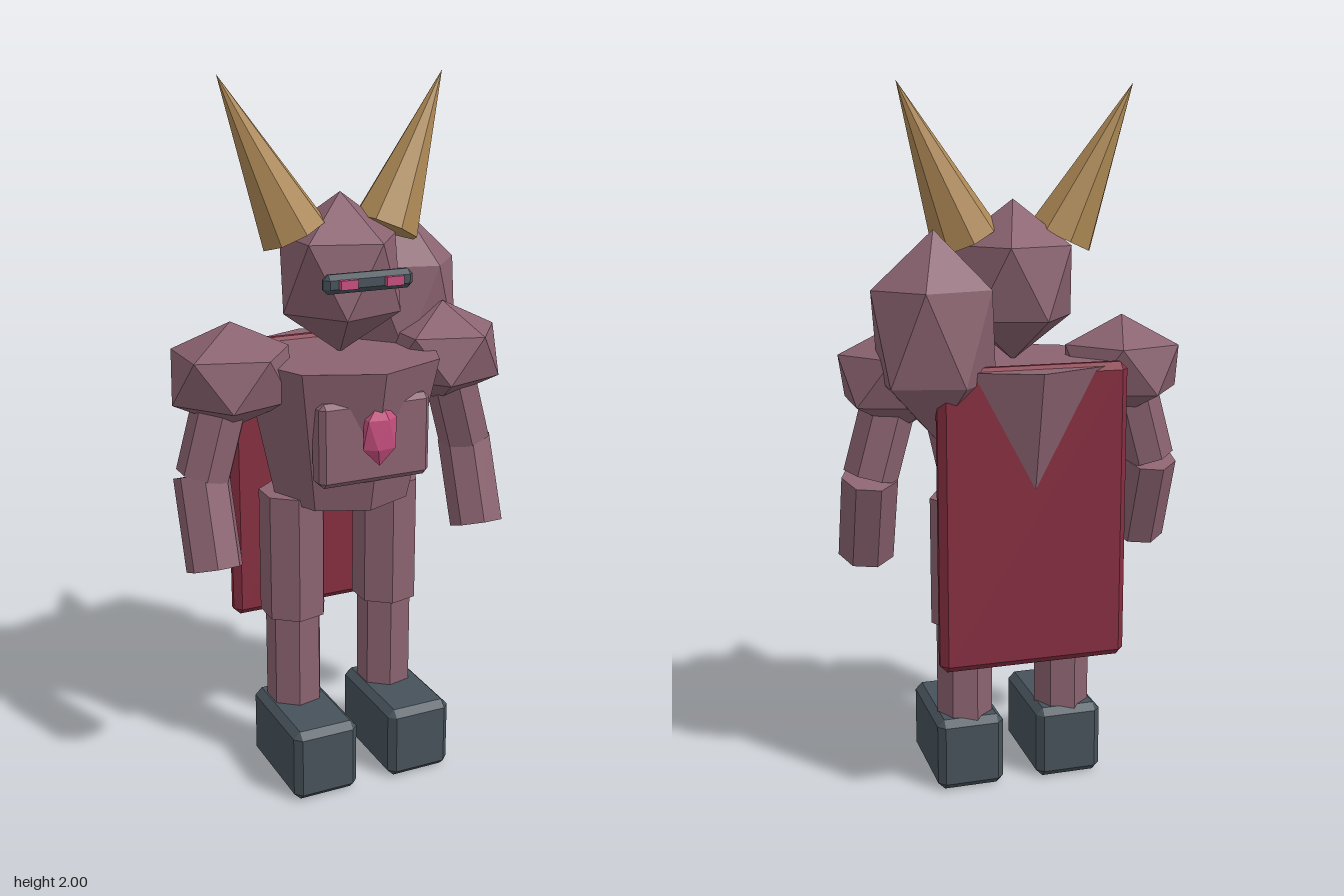
import * as THREE from 'three';
import { ConvexGeometry } from 'three/addons/geometries/ConvexGeometry.js';

const V = (x, y, z) => new THREE.Vector3(x, y, z);

function material(name, color) {
  const m = new THREE.MeshStandardMaterial({ color, flatShading: true });
  m.name = name;
  return m;
}

// Icosahedron standing on one corner, with separate radii per axis
function icoGeometry(rx, ry, rz) {
  const points = [V(0, ry, 0), V(0, -ry, 0)];
  const y = 1 / Math.sqrt(5), ring = 2 / Math.sqrt(5);
  for (let i = 0; i < 5; i++) {
    const a = i * Math.PI * 2 / 5;
    const x = ring * Math.cos(a), z = ring * Math.sin(a);
    points.push(V(x * rx, y * ry, z * rz), V(-x * rx, -y * ry, z * rz));
  }
  return new ConvexGeometry(points);
}

// Box with one flat bevel along every edge
function bevelBox(w, h, d, b) {
  const points = [];
  for (const sx of [-1, 1]) for (const sy of [-1, 1]) for (const sz of [-1, 1]) {
    const x = w / 2, y = h / 2, z = d / 2;
    points.push(V(sx * x, sy * (y - b), sz * (z - b)));
    points.push(V(sx * (x - b), sy * y, sz * (z - b)));
    points.push(V(sx * (x - b), sy * (y - b), sz * z));
  }
  return new ConvexGeometry(points);
}

export function createModel() {
  const model = new THREE.Group();
  model.name = 'hornedBrute';

  const skin = material('mauveHide', 0x8b6370);
  const dark = material('darkSlate', 0x46525a);
  const red = material('capeRed', 0x852e40);
  const pink = material('gemPink', 0xc74f7e);
  const horn = material('hornTan', 0xad8855);

  function add(name, geometry, mat, x, y, z) {
    const mesh = new THREE.Mesh(geometry, mat);
    mesh.name = name;
    mesh.position.set(x, y, z);
    model.add(mesh);
    return mesh;
  }

  // Straight faceted limb from a to b
  function limb(name, a, b, ra, rb, sides, mat, start = 0) {
    const dir = b.clone().sub(a);
    const geometry = new THREE.CylinderGeometry(rb, ra, dir.length(), sides, 1, false, start);
    const mid = a.clone().add(b).multiplyScalar(0.5);
    const mesh = add(name, geometry, mat, mid.x, mid.y, mid.z);
    mesh.quaternion.setFromUnitVectors(V(0, 1, 0), dir.normalize());
    return mesh;
  }

  // Body
  add('torso', new THREE.CylinderGeometry(0.29, 0.2, 0.41, 8), skin, 0, 1.045, 0);
  add('chestPlate', bevelBox(0.33, 0.235, 0.07, 0.015), skin, 0, 1.05, 0.2);
  add('chestGem', icoGeometry(0.056, 0.092, 0.028), pink, 0, 1.078, 0.252);
  add('cape', bevelBox(0.535, 0.845, 0.056, 0.02), red, 0, 0.837, -0.19);
  add('backHump', icoGeometry(0.19, 0.28, 0.16), skin, 0.255, 1.34, -0.125);

  // Head
  add('head', icoGeometry(0.19, 0.223, 0.19), skin, 0, 1.468, 0);
  add('visor', bevelBox(0.262, 0.052, 0.036, 0.014), dark, 0, 1.476, 0.173);

  for (const s of [-1, 1]) {
    const side = s > 0 ? 'left' : 'right';
    add(side + 'Eye', new THREE.BoxGeometry(0.05, 0.025, 0.03), pink, s * 0.067, 1.476, 0.19);
    limb(side + 'Horn', V(s * 0.137, 1.585, 0), V(s * 0.33, 2, -0.042), 0.097, 0, 8, horn);

    // Arms
    add(side + 'Shoulder', icoGeometry(0.19, 0.148, 0.182), skin, s * 0.325, 1.215, 0);
    limb(side + 'UpperArm', V(s * 0.412, 0.94, 0), V(s * 0.335, 1.22, 0), 0.078, 0.078, 7, skin, Math.PI / 2);
    limb(side + 'Forearm', V(s * 0.415, 0.695, 0.08), V(s * 0.415, 0.94, -0.008), 0.08, 0.08, 7, skin, Math.PI / 2);

    // Legs
    limb(side + 'Thigh', V(s * 0.148, 0.49, 0), V(s * 0.148, 0.86, 0), 0.097, 0.097, 7, skin, Math.PI / 2);
    limb(side + 'Shin', V(s * 0.148, 0.18, 0), V(s * 0.148, 0.5, 0), 0.082, 0.082, 7, skin, Math.PI / 2);
    add(side + 'Boot', bevelBox(0.196, 0.215, 0.33, 0.02), dark, s * 0.149, 0.1075, 0.075);
  }

  return model;
}
